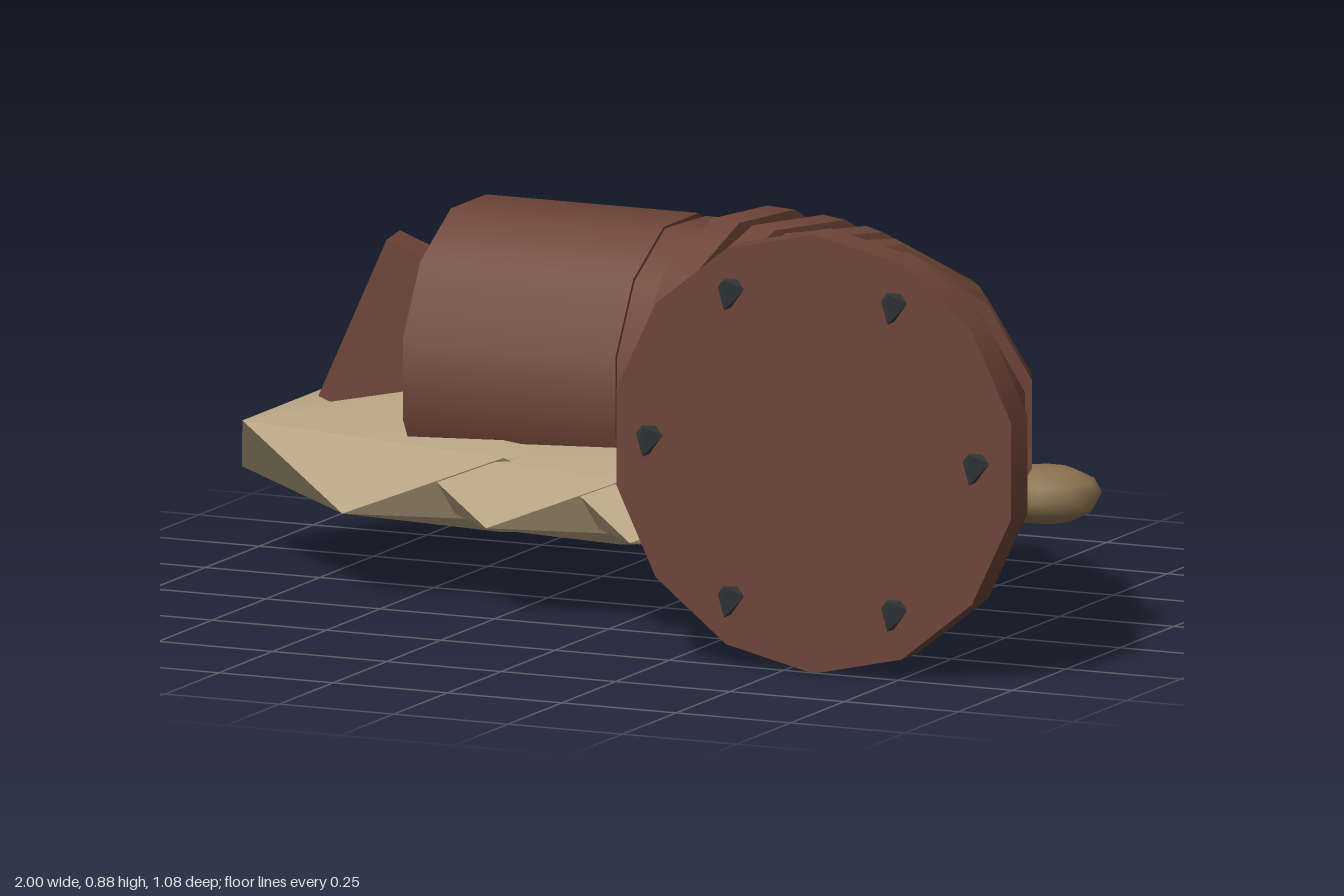
import * as THREE from 'three';
import { toCreasedNormals } from 'three/addons/utils/BufferGeometryUtils.js';
import { ConvexGeometry } from 'three/addons/geometries/ConvexGeometry.js';

function material(name, color) {
  const m = new THREE.MeshStandardMaterial({ color });
  m.name = name;
  return m;
}

export function createModel() {
  const rust = material('rust', 0x6e4437);
  const sand = material('sand', 0xb9a583);
  const stone = material('stone', 0x8b7350);
  const iron = material('dark iron', 0x35393a);
  const model = new THREE.Group();
  model.name = 'brokenPipe';

  const add = (name, geometry, mat, x, y, z, parent = model) => {
    const mesh = new THREE.Mesh(geometry, mat);
    mesh.name = name;
    mesh.position.set(x, y, z);
    parent.add(mesh);
    return mesh;
  };
  const group = (name) => {
    const g = new THREE.Group();
    g.name = name;
    model.add(g);
    return g;
  };

  // Twelve-sided tube lying along x, with a flat side on top
  const tube = (radius, length) =>
    new THREE.CylinderGeometry(radius, radius, length, 12, 1, false, Math.PI / 12).rotateZ(Math.PI / 2);

  const axisY = 0.443;

  // Straight length of pipe
  add('straightPipe', tube(0.316, 0.465), rust, -0.272, axisY, -0.17);

  // Elbow: seven short tubes with a wider collar over every joint
  const elbow = group('elbow');
  const bendRadius = 0.567, bendZ = 0.4, segments = 7;
  const step = Math.PI / 2 / segments;
  const placeOnBend = (name, geometry, a) => {
    const mesh = add(name, geometry, rust,
      bendRadius * Math.sin(a), axisY, bendZ - bendRadius * Math.cos(a), elbow);
    mesh.rotation.y = -a;
  };
  const segmentShape = tube(0.311, 0.195);
  const collarShape = tube(0.345, 0.07);
  for (let i = 0; i < segments; i++) {
    placeOnBend('elbowSegment', segmentShape, (i + 0.5) * step);
    if (i > 0) placeOnBend('elbowCollar', collarShape, i * step);
  }

  // End flange
  const flangeX = 0.569;
  add('flange', new THREE.CylinderGeometry(0.442, 0.442, 0.077, 14).rotateX(Math.PI / 2),
    rust, flangeX, 0.442, 0.469);

  // Six ridged bolts around the flange
  const bolts = group('bolts');
  const boltShape = new ConvexGeometry([
    [-0.016, 0.028, 0], [0.016, 0.028, 0], [-0.03, 0.01, 0], [0.03, 0.01, 0], [0, -0.03, 0],
    [0, 0.03, 0.034], [0, -0.03, 0.034],
  ].map((p) => new THREE.Vector3(...p)));
  for (let i = 0; i < 6; i++) {
    const a = (i * Math.PI) / 3;
    add('bolt', boltShape, iron,
      flangeX - 0.003 + 0.357 * Math.cos(a), axisY + 0.357 * Math.sin(a), 0.505, bolts);
  }

  // Slanted plate jutting from the open end
  const plate = add('brokenPlate', new THREE.BoxGeometry(0.4, 0.35, 0.105), rust, -0.55, 0.43, -0.175);
  plate.rotation.set(0, 0.185, -0.41);

  // Overlapping sand drifts: flattened twenty-sided mounds, point up
  const mound = (rx, ry, rz) => {
    const points = [new THREE.Vector3(0, ry, 0), new THREE.Vector3(0, -ry, 0)];
    for (let i = 0; i < 10; i++) {
      const a = (i * Math.PI) / 5;
      const h = i % 2 ? -0.447 : 0.447;
      points.push(new THREE.Vector3(rx * Math.cos(a), ry * h, rz * Math.sin(a)));
    }
    return toCreasedNormals(new ConvexGeometry(points), 0.5);
  };
  const drifts = group('sandDrifts');
  for (let i = 0; i < 3; i++) {
    add('sandDrift', mound(0.57 - 0.085 * i, 0.157 - 0.022 * i, 0.39 - 0.06 * i), sand,
      -0.43 + 0.32 * i, 0.245, -0.17 + 0.125 * i, drifts);
  }

  // Pebble beside the bend
  add('pebble', new THREE.SphereGeometry(1, 10, 6).scale(0.117, 0.058, 0.115), stone, 0.813, 0.287, -0.045);

  return model;
}
